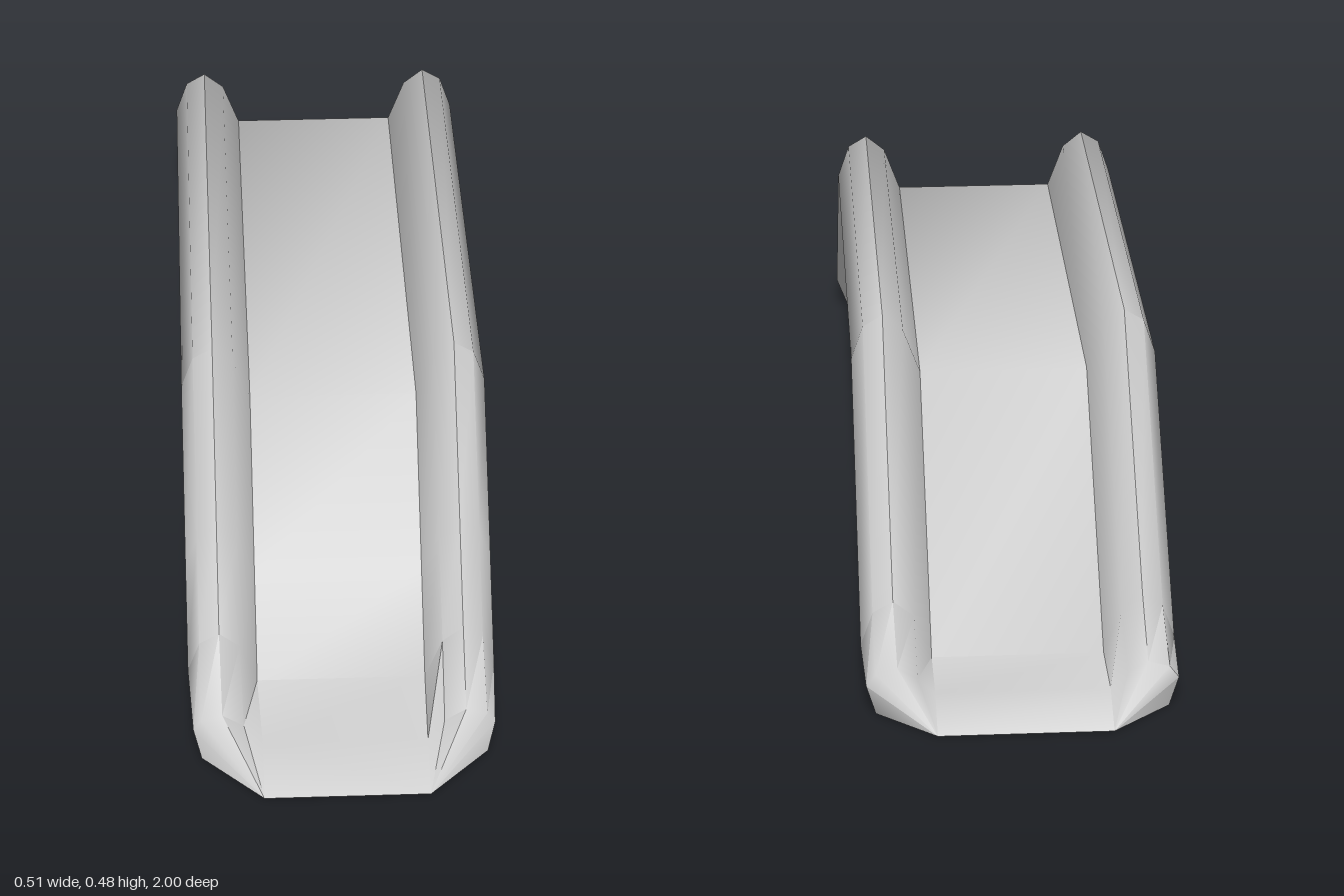
import * as THREE from 'three';
import { toCreasedNormals } from 'three/addons/utils/BufferGeometryUtils.js';

// Completes a half section (+x side, underside to deck) with its mirror image.
function mirrorRing(half) {
  const left = half.map(([x, y, z]) => [-x, y, z]).reverse();
  return [...half, ...left];
}

// Channel section: thin deck between two faceted rails, in a vertical plane.
function channel(z, y) {
  return mirrorRing([
    [0.135, y, z], [0.232, y, z], [0.255, y + 0.06, z], [0.235, y + 0.118, z],
    [0.202, y + 0.138, z], [0.168, y + 0.11, z], [0.14, y + 0.034, z],
  ]);
}

export function createModel() {
  const group = new THREE.Group();

  // Sections from the back foot, over the bridge, to the front foot
  const backFoot = mirrorRing([
    [0.14, 0, -1], [0.235, 0, -0.92], [0.25, 0.05, -0.92], [0.235, 0.07, -0.92],
    [0.2, 0.08, -0.92], [0.168, 0.06, -0.92], [0.14, 0.036, -0.925],
  ]);
  const frontFoot = mirrorRing([
    [0.135, 0, 1], [0.235, 0, 0.9], [0.248, 0.04, 0.875], [0.235, 0.055, 0.87],
    [0.2, 0.065, 0.87], [0.165, 0.042, 0.87], [0.135, 0.037, 0.91],
  ]);
  const rings = [
    backFoot,
    channel(-0.8, 0),
    channel(-0.435, 0.346),
    channel(0.425, 0.346),
    channel(0.63, 0.128),
    channel(0.75, 0),
    frontFoot,
  ];

  const n = rings[0].length;
  const index = [];
  for (let s = 0; s < rings.length - 1; s++) {
    for (let i = 0; i < n; i++) {
      const a = s * n + i, b = s * n + (i + 1) % n;
      index.push(a, b, b + n, a, b + n, a + n);
    }
  }

  // Sloped foot ends: a fan at each corner and a quad across the deck
  const cap = (base, flip) => {
    const tri = (a, b, c) => index.push(base + a, base + (flip ? c : b), base + (flip ? b : c));
    for (let i = 1; i < 6; i++) {
      tri(0, i, i + 1);
      tri(n - 1, n - 2 - i, n - 1 - i);
    }
    tri(0, 6, 7);
    tri(0, 7, n - 1);
  };
  cap(0, true);
  cap((rings.length - 1) * n, false);

  const geometry = new THREE.BufferGeometry();
  geometry.setAttribute('position', new THREE.Float32BufferAttribute(rings.flat(2), 3));
  geometry.setIndex(index);

  const bridge = new THREE.Mesh(
    toCreasedNormals(geometry, 0.85),
    new THREE.MeshStandardMaterial({ color: 0xcccccc, side: THREE.DoubleSide })
  );
  bridge.name = 'railedRampBridge';
  group.add(bridge);
  return group;
}
